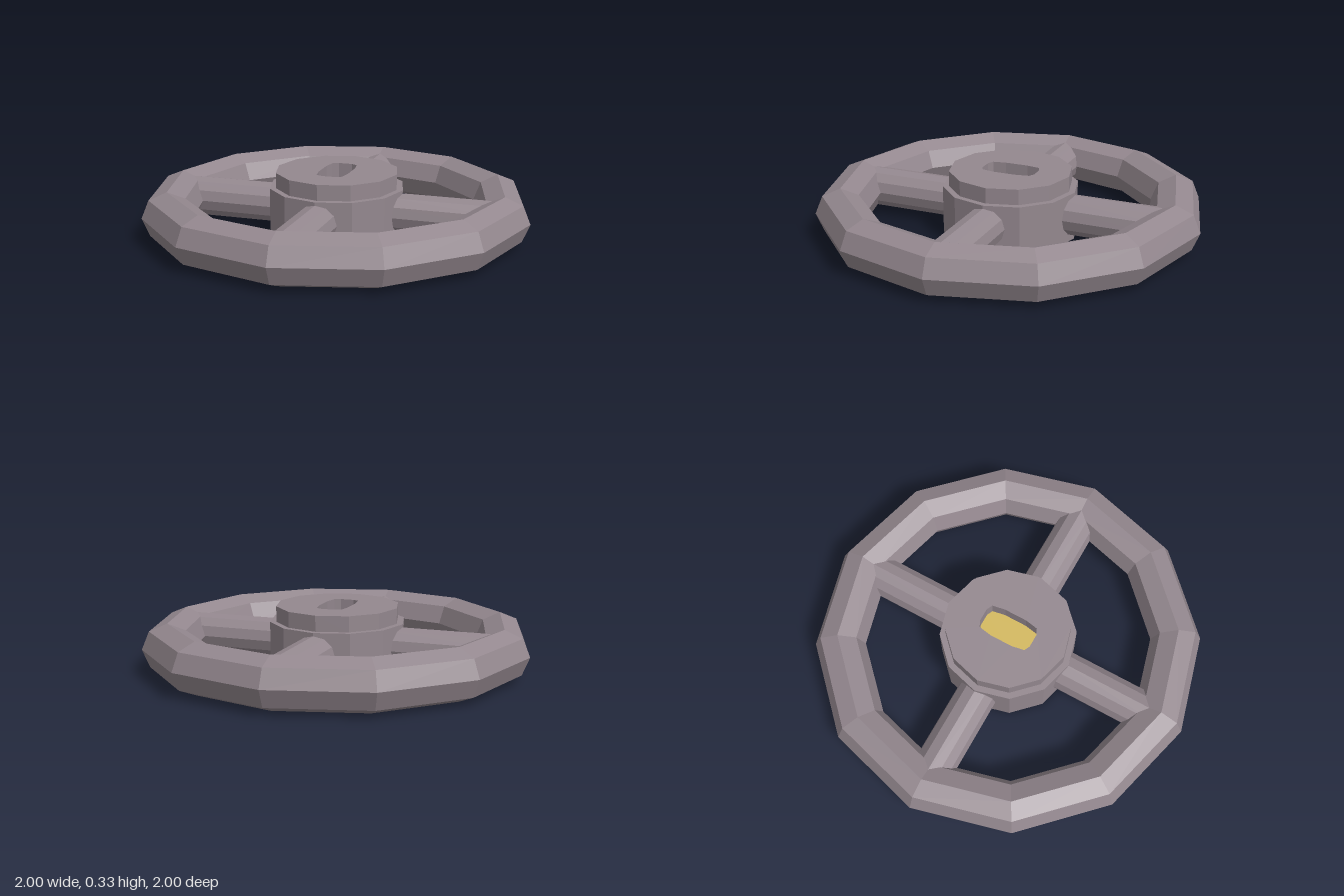
import * as THREE from 'three';

export function createModel() {
  const group = new THREE.Group();
  const metal = new THREE.MeshStandardMaterial({ color: 0x94888f, flatShading: true });
  const brass = new THREE.MeshStandardMaterial({ color: 0xd4b95e, flatShading: true });
  const add = (name, geometry, material = metal) => {
    const mesh = new THREE.Mesh(geometry, material);
    mesh.name = name;
    group.add(mesh);
    return mesh;
  };
  const midY = 0.13;

  // Twelve-sided rim with an octagonal section
  add('rim', new THREE.TorusGeometry(0.87, 0.13, 8, 12).rotateX(Math.PI / 2)).position.y = midY;

  // Four spokes from the hub into the rim
  for (let i = 0; i < 4; i++) {
    const spoke = new THREE.CylinderGeometry(0.104, 0.104, 0.57, 12);
    spoke.rotateZ(Math.PI / 2).translate(0.585, midY, 0).rotateY(i * Math.PI / 2);
    add('spoke' + (i + 1), spoke);
  }

  // Hub drum
  add('hub', new THREE.CylinderGeometry(0.35, 0.35, 0.25, 12)).position.y = 0.125;

  // Raised cap with a rounded slot through it
  const capShape = new THREE.Shape();
  for (let i = 0; i < 12; i++) {
    const a = i * Math.PI / 6;
    capShape[i ? 'lineTo' : 'moveTo'](0.318 * Math.cos(a), 0.318 * Math.sin(a));
  }
  const quarter = [[0.078, 0.06], [0.066, 0.128], [0.035, 0.143]];
  const flip = (sx, sy) => quarter.map(([x, y]) => new THREE.Vector2(x * sx, y * sy));
  const outline = [
    ...flip(1, 1), ...flip(-1, 1).reverse(),
    ...flip(-1, -1), ...flip(1, -1).reverse(),
  ];
  capShape.holes.push(new THREE.Path(outline));
  const cap = new THREE.ExtrudeGeometry(capShape, { depth: 0.08, bevelEnabled: false });
  add('hubCap', cap.rotateX(-Math.PI / 2)).position.y = 0.25;

  // Coloured floor of the slot
  const floor = new THREE.ShapeGeometry(new THREE.Shape(outline));
  add('slotFloor', floor.rotateX(-Math.PI / 2), brass).position.y = 0.253;

  return group;
}
